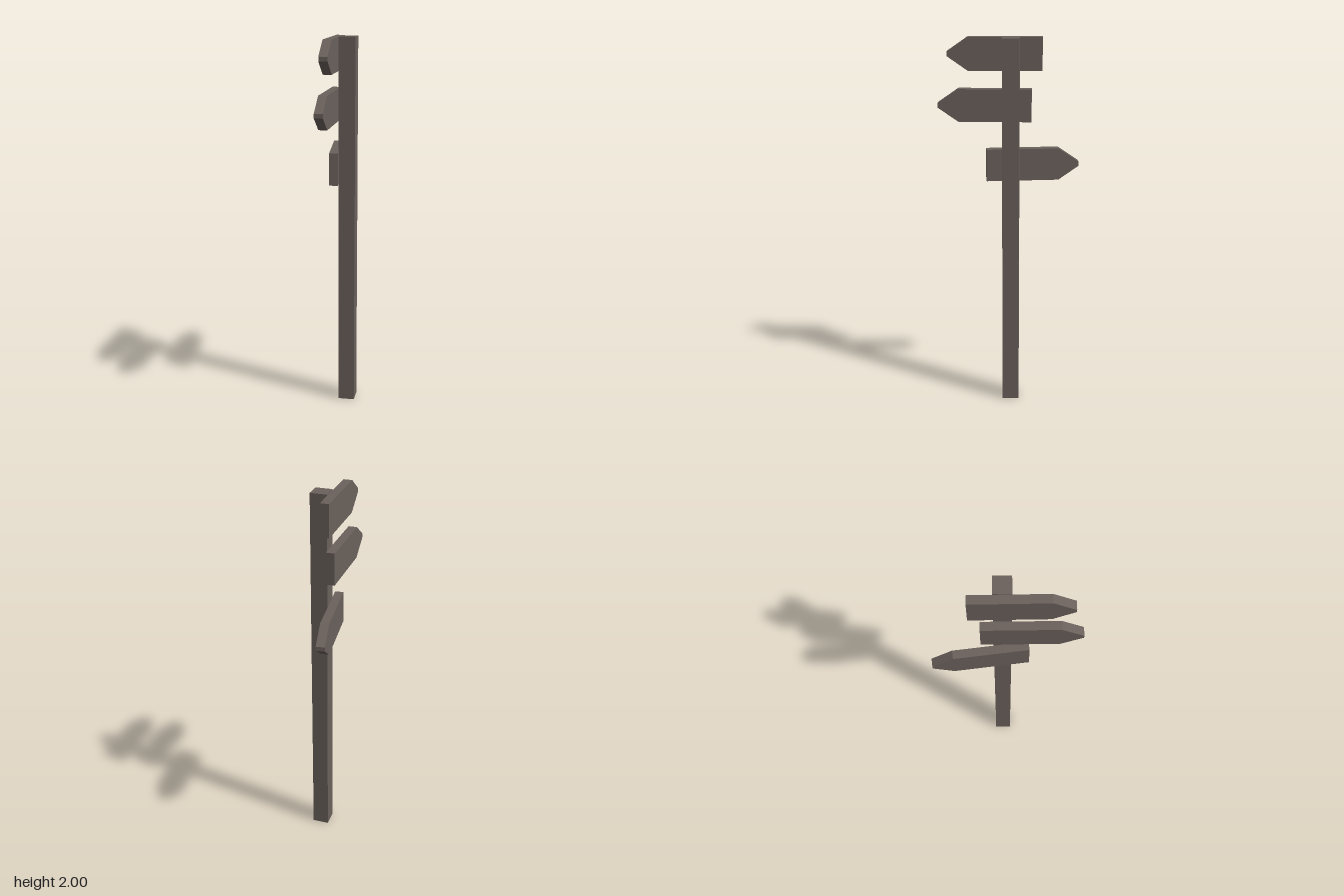
import * as THREE from 'three';

const LENGTH = 0.487, HEIGHT = 0.17, THICK = 0.045, TIP = 0.107, BLUNT = 0.022;

// Board outline: square at one end, blunt arrow point toward +x
function boardGeometry() {
  const l = LENGTH / 2, h = HEIGHT / 2, b = BLUNT / 2;
  const outline = [[-l, -h], [l - TIP, -h], [l, -b], [l, b], [l - TIP, h], [-l, h]];
  const shape = new THREE.Shape(outline.map(([x, y]) => new THREE.Vector2(x, y)));
  const geometry = new THREE.ExtrudeGeometry(shape, { depth: THICK, bevelEnabled: false });
  return geometry.translate(0, 0, -THICK / 2);
}

export function createModel() {
  const group = new THREE.Group();
  group.name = 'signpost';
  const wood = new THREE.MeshStandardMaterial({ color: 0x6b615c });
  wood.name = 'weathered wood';

  // Square post, slightly turned
  const post = new THREE.Mesh(new THREE.BoxGeometry(0.088, 2, 0.088), wood);
  post.name = 'post';
  post.position.set(0.048, 1, -0.006);
  post.rotation.y = -0.115;
  group.add(post);

  // Two boards point forward, the lowest points back
  const geometry = boardGeometry();
  const boards = [
    ['topBoard', -0.029, 1.911, 0.07, -Math.PI / 2 - 0.11],
    ['middleBoard', -0.047, 1.645, 0.122, -Math.PI / 2 - 0.115],
    ['bottomBoard', -0.02, 1.333, -0.126, Math.PI / 2],
  ];
  for (const [name, x, y, z, turn] of boards) {
    const board = new THREE.Mesh(geometry, wood);
    board.name = name;
    board.position.set(x, y, z);
    board.rotation.y = turn;
    group.add(board);
  }
  return group;
}
